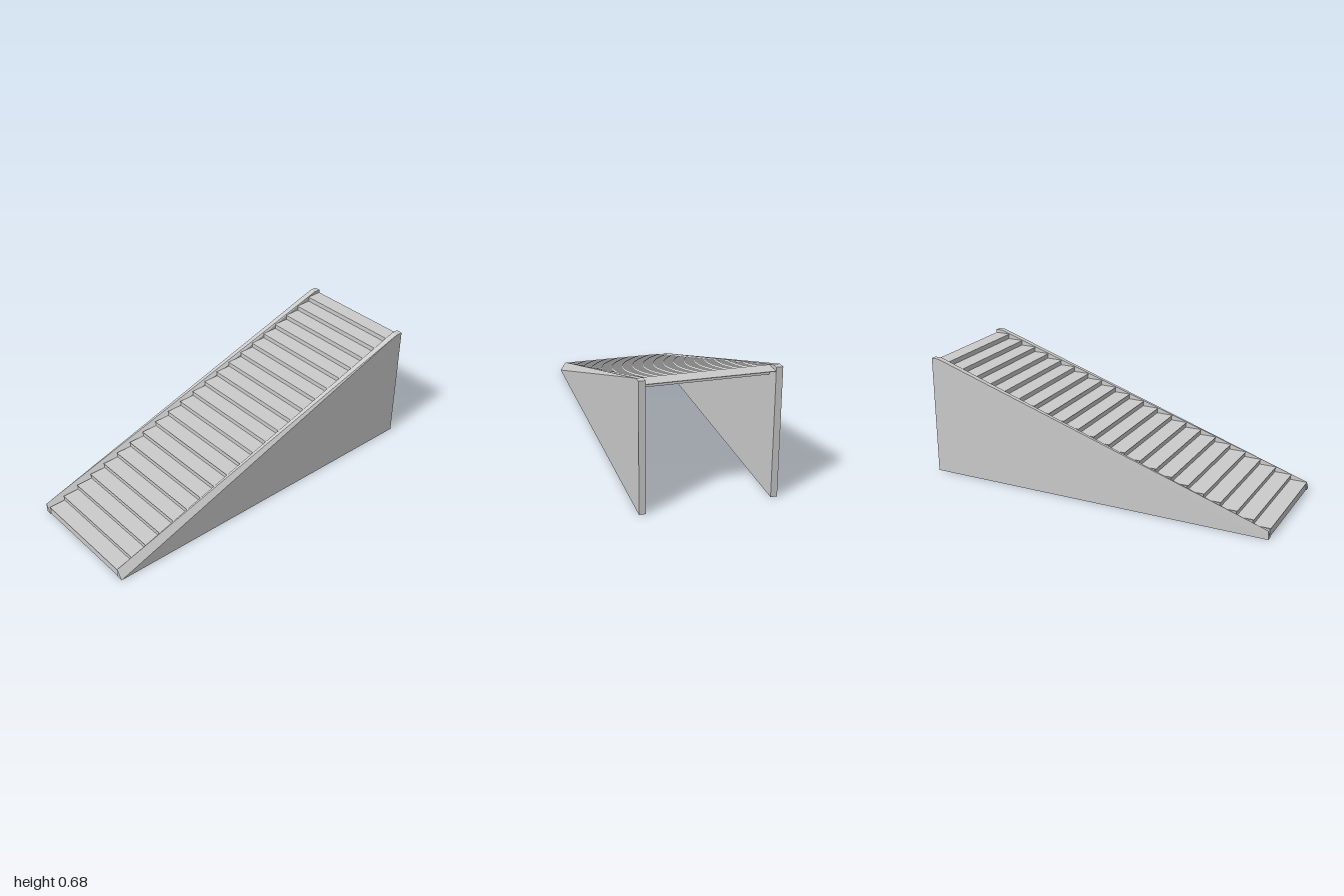
import * as THREE from 'three';

const STEPS = 22;
const RUN = 2 / STEPS;
const RISE = 0.0292;
const HALF = 0.35;        // half of the overall width
const WALL = 0.034;       // side wall thickness
const RISER = 0.045;      // riser height, hangs below the tread behind it
const SLAB = 0.003;       // tread and riser thickness
const NOSING = 0.004;     // tread overhang

const material = new THREE.MeshStandardMaterial({ color: 0xcccccc, flatShading: true });

// Wedge wall lofted between two side profiles; its top twists, so that the
// front end is higher on the -x edge than on the +x edge.
function wallGeometry() {
  const profile = (x, lip) =>
    [[1, 0], [1, lip], [-0.96, 0.68], [-1, 0.68], [-1, 0]].map(([z, y]) => [x, y, z]);
  const a = profile(0, 0.05);
  const b = profile(WALL, 0);
  const out = [];
  const tri = (...corners) => corners.forEach((c) => out.push(...c));
  for (let i = 0; i < 5; i++) {
    const j = (i + 1) % 5;
    tri(a[i], b[i], b[j]);
    tri(a[i], b[j], a[j]);
  }
  for (let i = 1; i < 4; i++) {
    tri(a[0], a[i], a[i + 1]);
    tri(b[0], b[i + 1], b[i]);
  }
  const geometry = new THREE.BufferGeometry();
  geometry.setAttribute('position', new THREE.Float32BufferAttribute(out, 3));
  geometry.computeVertexNormals();
  return geometry;
}

export function createModel() {
  const group = new THREE.Group();
  group.name = 'staircase';

  function add(parent, name, geometry, x, y, z) {
    const mesh = new THREE.Mesh(geometry, material);
    mesh.name = name;
    mesh.position.set(x, y, z);
    parent.add(mesh);
  }

  // Side walls
  const wall = wallGeometry();
  add(group, 'rightWall', wall, -HALF, 0, 0);
  add(group, 'leftWall', wall, HALF - WALL, 0, 0);

  // Steps: a thin tread resting on a thin riser, open underneath
  const width = 2 * (HALF - WALL);
  const tread = new THREE.BoxGeometry(width, SLAB, RUN);
  const riser = new THREE.BoxGeometry(width, RISER, SLAB);
  for (let i = 0; i < STEPS; i++) {
    const step = new THREE.Group();
    step.name = `step${i + 1}`;
    step.position.set(0, i * RISE, 1 - i * RUN);
    add(step, 'tread', tread, 0, RISER + SLAB / 2, -RUN / 2);
    add(step, 'riser', riser, 0, RISER / 2, -NOSING - SLAB / 2);
    group.add(step);
  }
  // Short strips closing each tread against the next riser
  const strip = new THREE.BoxGeometry(width, SLAB, NOSING + SLAB);
  for (let i = 0; i < STEPS - 1; i++) {
    add(group, 'treadBackStrip', strip, 0, i * RISE + RISER + SLAB / 2,
      1 - (i + 1) * RUN - (NOSING + SLAB) / 2);
  }
  return group;
}
